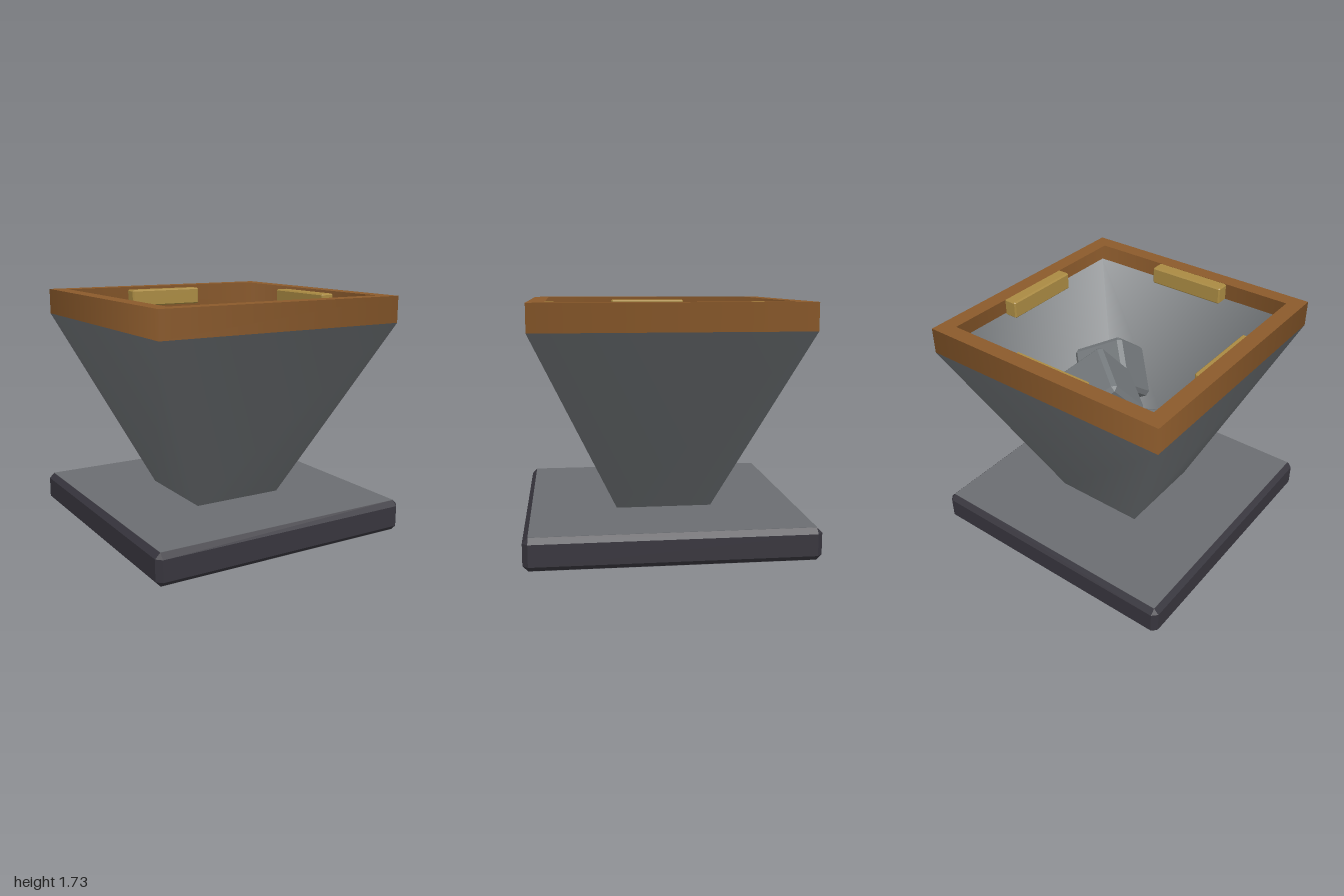
import * as THREE from 'three';
import { ConvexGeometry } from 'three/addons/geometries/ConvexGeometry.js';

const material = (name, color, side = THREE.FrontSide) => {
  const m = new THREE.MeshStandardMaterial({ color, side });
  m.name = name;
  return m;
};

// Box with every edge chamfered by c
function chamferBox(w, h, d, c) {
  const x = w / 2, y = h / 2, z = d / 2, points = [];
  for (const i of [-1, 1]) for (const j of [-1, 1]) for (const k of [-1, 1]) {
    points.push(
      new THREE.Vector3(i * x, j * (y - c), k * (z - c)),
      new THREE.Vector3(i * (x - c), j * y, k * (z - c)),
      new THREE.Vector3(i * (x - c), j * (y - c), k * z));
  }
  return new ConvexGeometry(points);
}

// Open four-sided wall with normals blended around the corners
function squareWall(topHalf, bottomHalf, y0, y1) {
  const g = new THREE.CylinderGeometry(topHalf * Math.SQRT2, bottomHalf * Math.SQRT2, y1 - y0, 4, 1, true);
  return g.rotateY(Math.PI / 4).translate(0, (y0 + y1) / 2, 0);
}

export function createModel() {
  const group = new THREE.Group();
  const darkIron = material('darkIron', 0x37353d);
  const slab = material('slabGrey', 0x6b6d71);
  const sheet = material('sheetGrey', 0x6d7174, THREE.DoubleSide);
  const wood = material('woodBrown', 0x8b5a2b, THREE.DoubleSide);
  const brass = material('brass', 0xa98a42);
  const stone = material('stoneGrey', 0x73787b);

  const add = (name, geometry, mat, x = 0, y = 0, z = 0) => {
    const mesh = new THREE.Mesh(geometry, mat);
    mesh.name = name;
    mesh.position.set(x, y, z);
    group.add(mesh);
    return mesh;
  };

  // Base slab: dark chamfered sides with grey top and bottom faces
  add('base', chamferBox(2, 0.226, 2, 0.037), darkIron, 0, 0.115, 0);
  add('baseTop', new THREE.BoxGeometry(1.926, 0.004, 1.926), slab, 0, 0.228, 0);
  add('baseBottom', new THREE.BoxGeometry(1.926, 0.004, 1.926), slab, 0, 0.002, 0);

  // Hopper
  add('hopper', squareWall(0.94, 0.345, 0.23, 1.54), sheet);
  add('hopperFloor', new THREE.BoxGeometry(0.69, 0.004, 0.69), sheet, 0, 0.232, 0);

  // Rim: outer wall and a flat square ring on top
  add('rimWall', squareWall(0.94, 0.94, 1.54, 1.73), wood);
  const ring = new THREE.RingGeometry(0.825 * Math.SQRT2, 0.94 * Math.SQRT2, 4, 1, Math.PI / 4);
  add('rimTop', ring.rotateX(-Math.PI / 2), wood, 0, 1.73, 0);

  // Brass clips at the middle of each side
  const clip = chamferBox(0.606, 0.13, 0.105, 0.01);
  for (let i = 0; i < 4; i++) {
    const a = i * Math.PI / 2;
    add('clip', clip, brass, Math.sin(a) * 0.823, 1.64, Math.cos(a) * 0.823).rotation.y = a;
  }

  // Tumbled stone blocks: centre and two edge directions
  const block = chamferBox(0.41, 0.41, 0.41, 0.03);
  const blocks = [
    [[-0.005, 1.235, -0.305], [0.32, 0.11, 0.23], [-0.22, 0.22, 0.2]],
    [[0.265, 1.045, 0.19], [0.32, -0.167, -0.14], [-0.23, -0.24, -0.18]],
    [[-0.23, 0.76, -0.12], [0.375, -0.11, -0.04], [0.02, 0.13, 0.365]],
  ];
  for (const [centre, u, v] of blocks) {
    const a = new THREE.Vector3(...u).normalize();
    const c = new THREE.Vector3().crossVectors(a, new THREE.Vector3(...v)).normalize();
    const b = new THREE.Vector3().crossVectors(c, a);
    add('stoneBlock', block, stone, ...centre)
      .quaternion.setFromRotationMatrix(new THREE.Matrix4().makeBasis(a, b, c));
  }
  return group;
}
